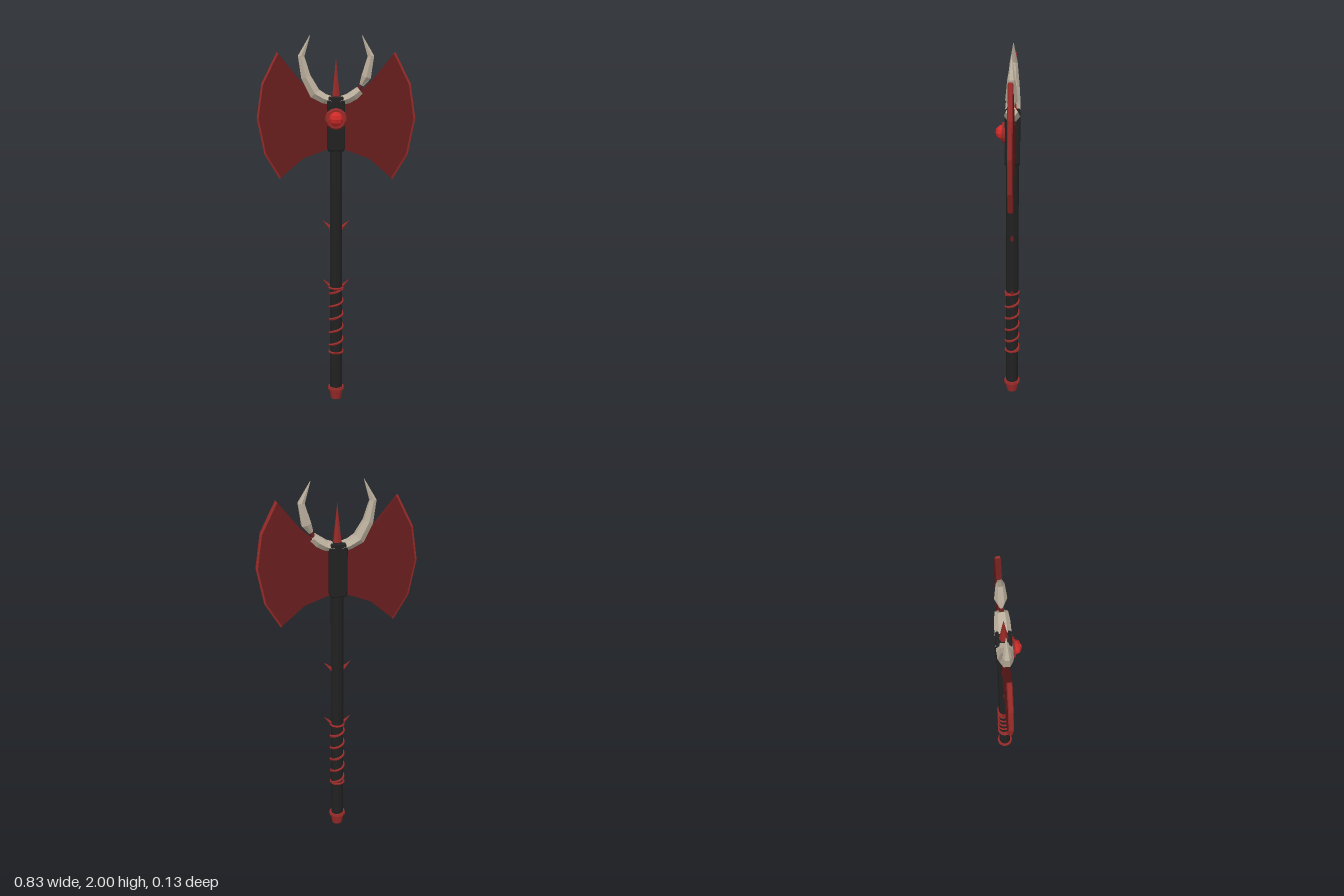
import * as THREE from 'three';

const mat = (name, color) => {
  const m = new THREE.MeshStandardMaterial({ color });
  m.name = name;
  return m;
};

// Give every face its own normal for a faceted low-poly look
function facet(geo) {
  const g = geo.index ? geo.toNonIndexed() : geo;
  g.computeVertexNormals();
  return g;
}

// Closed skin over a list of cross-section rings, wound counter-clockwise about the path
function skin(rings) {
  const n = rings[0].length;
  const pos = rings.flat().flat();
  const index = [];
  for (let i = 0; i < rings.length - 1; i++) {
    for (let j = 0; j < n; j++) {
      const k = (j + 1) % n;
      const a = i * n + j, b = i * n + k, c = b + n, d = a + n;
      index.push(a, b, c, a, c, d);
    }
  }
  const last = (rings.length - 1) * n;
  for (let j = 1; j < n - 1; j++) {
    index.push(0, j + 1, j, last, last + j, last + j + 1);
  }
  const g = new THREE.BufferGeometry();
  g.setAttribute('position', new THREE.Float32BufferAttribute(pos, 3));
  g.setIndex(index);
  return g;
}

// Horn along points [x, y, half width, half depth], six-sided with a ridge front and back
function hornGeometry(points, side) {
  const pts = points.map(([x, y, w, d]) => [x * side, y, w, d]);
  return skin(pts.map(([x, y, w, d], i) => {
    const p = pts[Math.max(i - 1, 0)], q = pts[Math.min(i + 1, pts.length - 1)];
    const len = Math.hypot(q[0] - p[0], q[1] - p[1]);
    const nx = -(q[1] - p[1]) / len, ny = (q[0] - p[0]) / len;
    return Array.from({ length: 6 }, (_, j) => {
      const a = Math.PI / 6 + j * Math.PI / 3;
      const u = w * Math.cos(a) * 1.15;
      return [x + nx * u, y + ny * u, d * Math.sin(a)];
    });
  }));
}

export function createModel() {
  const black = mat('black', 0x212121);
  const darkRed = mat('dark red', 0x661c1c);
  const red = mat('red', 0x962a28);
  const gemRed = mat('gem red', 0xcf2a28);
  const bone = mat('bone', 0xb9ad9b);

  const axe = new THREE.Group();
  axe.name = 'battleAxe';
  const add = (name, geo, material, x = 0, y = 0, z = 0, parent = axe) => {
    const m = new THREE.Mesh(facet(geo), material);
    m.name = name;
    m.position.set(x, y, z);
    parent.add(m);
    return m;
  };

  // Shaft and pommel
  add('shaft', new THREE.CylinderGeometry(0.034, 0.034, 1.36, 10), black, 0, 0.74);
  const pommel = [[0, 0], [0.029, 0], [0.038, 0.052], [0.047, 0.056], [0.045, 0.07], [0, 0.07]];
  add('pommel', new THREE.LatheGeometry(pommel.map(([r, y]) => new THREE.Vector2(r, y)), 10), red);

  // Grip cord: a helix closed by a ring at each end
  const turns = 5, coil = [];
  for (let i = 0; i <= turns * 12; i++) {
    const a = i / 12 * Math.PI * 2;
    coil.push(new THREE.Vector3(0.036 * Math.cos(a), 0.275 + 0.37 * i / (turns * 12), -0.036 * Math.sin(a)));
  }
  add('gripCord', new THREE.TubeGeometry(new THREE.CatmullRomCurve3(coil), 120, 0.007, 5), red);
  for (const y of [0.275, 0.645]) {
    add('gripRing', new THREE.TorusGeometry(0.036, 0.007, 5, 14), red, 0, y).rotation.x = Math.PI / 2;
  }

  // Small thorns on both sides of the shaft
  for (const y of [0.67, 1.0]) {
    for (const s of [-1, 1]) {
      add('thorn', new THREE.ConeGeometry(0.012, 0.07, 5), red, s * 0.05, y).rotation.z = -s * Math.PI / 4;
    }
  }

  // Head block with chamfered outline
  const block = new THREE.Shape([
    [-0.036, 1.405], [0.036, 1.405], [0.042, 1.42], [0.042, 1.66], [0.033, 1.68],
    [-0.033, 1.68], [-0.042, 1.66], [-0.042, 1.42],
  ].map(([x, y]) => new THREE.Vector2(x, y)));
  add('headBlock', new THREE.ExtrudeGeometry(block, {
    depth: 0.062, bevelEnabled: true, bevelThickness: 0.008, bevelSize: 0.006, bevelSegments: 1,
  }), black, 0, 0, -0.031);
  add('topSpike', new THREE.ConeGeometry(0.024, 0.21, 6), red, 0, 1.78);

  // Gem in its setting on the front
  add('gemSetting', new THREE.CylinderGeometry(0.05, 0.058, 0.016, 14), red, 0, 1.57, 0.045)
    .rotation.x = Math.PI / 2;
  add('gem', new THREE.SphereGeometry(0.04, 8, 6), gemRed, 0, 1.57, 0.048);

  // Blades: dark body with a tapered cutting edge, the second turned half round
  const outer = [[0.308, 1.912], [0.39, 1.75], [0.417, 1.57], [0.38, 1.38], [0.3, 1.247]];
  const inset = outer.map(([x, y]) => [x * 0.975, 1.57 + (y - 1.57) * 0.975]);
  const outline = [[0.02, 1.405], [0.05, 1.405], [0.175, 1.358], ...inset.slice().reverse(),
    [0.19, 1.768], [0.105, 1.69], [0.02, 1.66]];
  const bodyShape = new THREE.Shape(outline.map(([x, y]) => new THREE.Vector2(x, y)));
  for (const s of [1, -1]) {
    const blade = new THREE.Group();
    blade.name = s > 0 ? 'leftBlade' : 'rightBlade';
    blade.rotation.y = s > 0 ? 0 : Math.PI;
    axe.add(blade);
    add('bladeBody', new THREE.ExtrudeGeometry(bodyShape, { depth: 0.027, bevelEnabled: false }),
      darkRed, 0, 0, -0.0135, blade);
    add('cuttingEdge', skin(outer.map(([x, y], i) => {
      const [u, v] = inset[i];
      return [[x, y, -0.009], [x, y, 0.009], [u, v, 0.0135], [u, v, -0.0135]];
    })), red, 0, 0, 0, blade);
    for (const y of [1.47, 1.64]) {
      add('rivet', new THREE.CylinderGeometry(0.007, 0.007, 0.034, 6), darkRed, 0.09, y, 0, blade)
        .rotation.x = Math.PI / 2;
    }
  }

  // Horns: the right one is whole, the left one is broken in two
  const root = [[0.02, 1.662, 0.022, 0.04], [0.06, 1.672, 0.024, 0.04]];
  const tip = [[0.157, 1.785, 0.025, 0.031], [0.181, 1.892, 0.017, 0.02], [0.134, 2.0, 0.001, 0.001]];
  add('rightHorn', hornGeometry([...root, [0.11, 1.7, 0.029, 0.038], ...tip], -1), bone);
  add('leftHornRoot', hornGeometry([...root, [0.095, 1.692, 0.026, 0.038], [0.125, 1.717, 0.022, 0.031]], 1), bone);
  add('leftHornTip', hornGeometry([[0.133, 1.742, 0.012, 0.01], ...tip], 1), bone);
  add('hornBreak', new THREE.ConeGeometry(0.016, 0.06, 5), darkRed, 0.13, 1.735).rotation.z = -0.6;

  axe.position.z = -0.02;
  const model = new THREE.Group();
  model.name = 'model';
  model.add(axe);
  return model;
}
